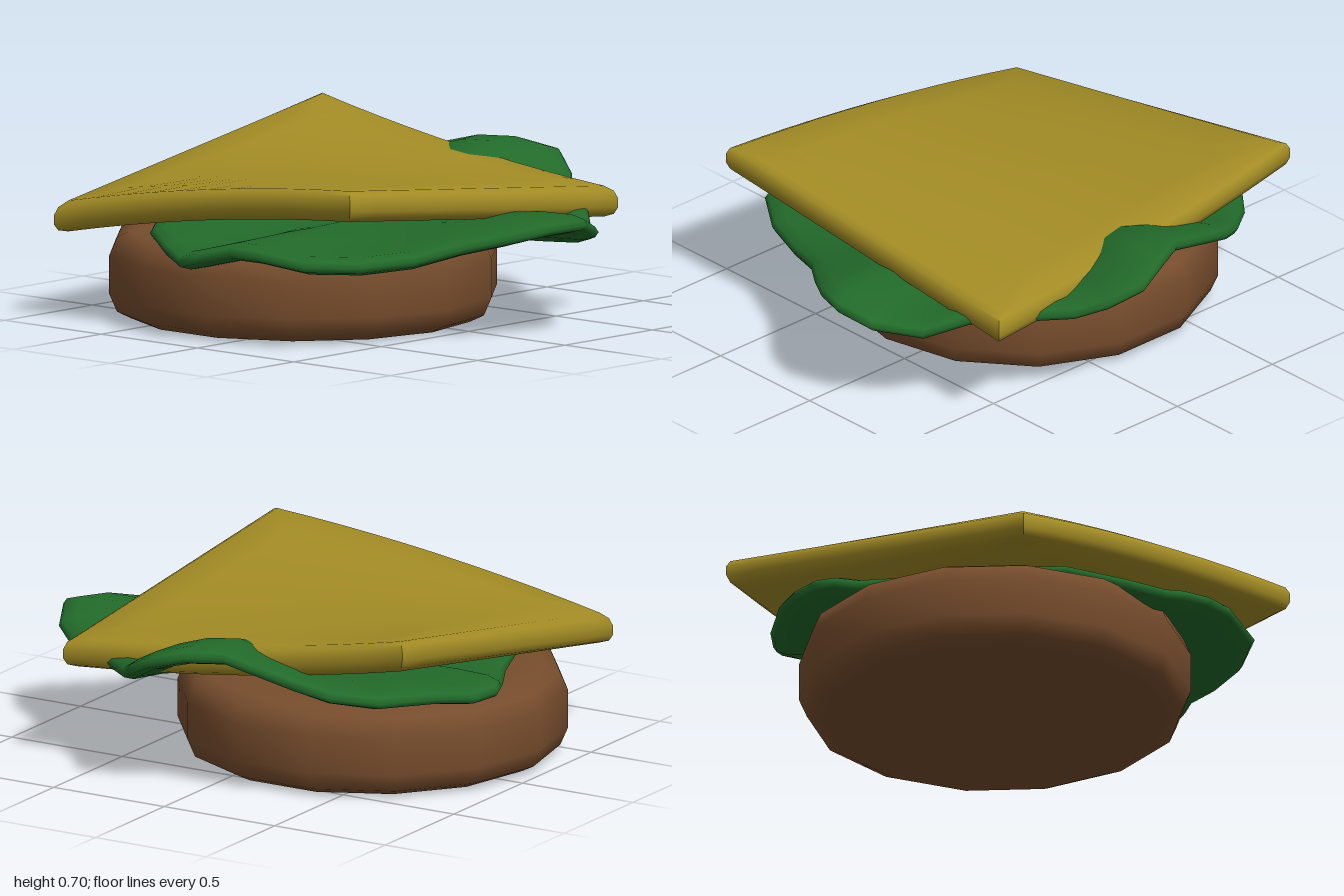
import * as THREE from 'three';
import { toCreasedNormals } from 'three/addons/utils/BufferGeometryUtils.js';

// Closed skin: an outline scaled by each profile step [scale, offset], from bottom centre to top centre
function loftSheet(outline, profile, height) {
  const n = outline.length, pos = [], idx = [];
  for (const [r, dy] of profile)
    for (const [x, z, e] of outline) pos.push(x * r, height(x * r, z * r, e, r) + dy, z * r);
  for (let j = 0; j < profile.length - 1; j++) {
    for (let i = 0; i < n; i++) {
      const a = j * n + i, b = j * n + (i + 1) % n, c = a + n, d = b + n;
      if (profile[j][0] > 0) idx.push(a, c, b);
      if (profile[j + 1][0] > 0) idx.push(b, c, d);
    }
  }
  const g = new THREE.BufferGeometry();
  g.setAttribute('position', new THREE.Float32BufferAttribute(pos, 3));
  g.setIndex(idx);
  g.computeVertexNormals();
  return g;
}

function material(name, color) {
  const m = new THREE.MeshStandardMaterial({ color });
  m.name = name;
  return m;
}

export function createModel() {
  const group = new THREE.Group();
  const add = (name, geo, mat) => {
    const mesh = new THREE.Mesh(geo, mat);
    mesh.name = name;
    group.add(mesh);
    return mesh;
  };

  // Patty: fourteen-sided rounded disc
  const pattyProfile = [[0, 0], [0.55, 0], [0.67, 0.003], [0.725, 0.03], [0.755, 0.1],
    [0.755, 0.25], [0.725, 0.318], [0.67, 0.345], [0.55, 0.35], [0, 0.35]]
    .map(([r, y]) => new THREE.Vector2(r, y));
  add('patty', new THREE.LatheGeometry(pattyProfile, 14), material('pattyBrown', 0x774d2d))
    .position.set(-0.125, 0, -0.245);

  // Lettuce: wavy leaf, rim points as [x, z, rim height]
  const rim = [
    [0.15, -0.985, 0.40], [0.28, -0.965, 0.40], [0.42, -0.88, 0.42], [0.6, -0.73, 0.42],
    [0.72, -0.58, 0.45], [0.8, -0.46, 0.50], [0.83, -0.16, 0.57], [0.9, -0.02, 0.57],
    [0.95, 0.12, 0.54], [0.88, 0.24, 0.48], [0.78, 0.33, 0.43], [0.69, 0.45, 0.43],
    [0.52, 0.65, 0.42], [0.4, 0.78, 0.36], [0.27, 0.93, 0.40], [0.14, 0.99, 0.45],
    [0, 0.94, 0.44], [-0.13, 0.85, 0.41], [-0.27, 0.74, 0.38], [-0.47, 0.65, 0.34],
    [-0.68, 0.56, 0.33], [-0.86, 0.43, 0.34], [-0.925, 0.23, 0.37], [-0.93, 0.1, 0.37],
    [-0.955, -0.07, 0.33], [-0.94, -0.16, 0.31], [-0.86, -0.3, 0.33], [-0.72, -0.5, 0.36],
    [-0.45, -0.7, 0.37], [-0.2, -0.8, 0.37], [0, -0.91, 0.38], [0.08, -0.955, 0.40],
  ];
  const leafProfile = [[0, -0.03], [0.4, -0.03], [0.6, -0.035], [0.78, -0.035], [0.93, -0.035], [0.985, -0.02],
    [1, 0], [0.985, 0.02], [0.93, 0.035], [0.78, 0.035], [0.6, 0.035], [0.4, 0.03], [0, 0.03]];
  const leafHeight = (x, z, e, r) => 0.37 + (e - 0.37) * THREE.MathUtils.smoothstep(r, 0.2, 0.8);
  add('lettuce', loftSheet(rim, leafProfile, leafHeight), material('lettuceGreen', 0x226a2a));

  // Cheese: square slice with rounded rim, two opposite corners lifted
  const half = 0.7675, steps = 10, square = [];
  const corners = [[-1, -1], [1, -1], [1, 1], [-1, 1]];
  corners.forEach(([x, z], k) => {
    const [x2, z2] = corners[(k + 1) % 4];
    for (let i = 0; i < steps; i++) {
      const t = i / steps;
      square.push([half * (x + (x2 - x) * t), half * (z + (z2 - z) * t), 0]);
    }
  });
  const sliceProfile = [[0, -0.06], [0.25, -0.06], [0.5, -0.06], [0.75, -0.06], [0.95, -0.06], [0.985, -0.045],
    [1, -0.018], [1, 0.018], [0.985, 0.045], [0.95, 0.06], [0.75, 0.06], [0.5, 0.06], [0.25, 0.06], [0, 0.06]];
  const sliceHeight = (x, z) => {
    const u = x / half / 2 + 0.5, v = z / half / 2 + 0.5;
    const back = 0.385 + 0.275 * u, front = 0.6 - 0.165 * u;
    return back + (front - back) * v + 0.03 * (1 - 2 * u) * 4 * v * (1 - v);
  };
  add('cheeseSlice', toCreasedNormals(loftSheet(square, sliceProfile, sliceHeight), 0.9),
    material('cheeseYellow', 0xa38c25)).position.set(-0.0775, 0, -0.1175);

  return group;
}
